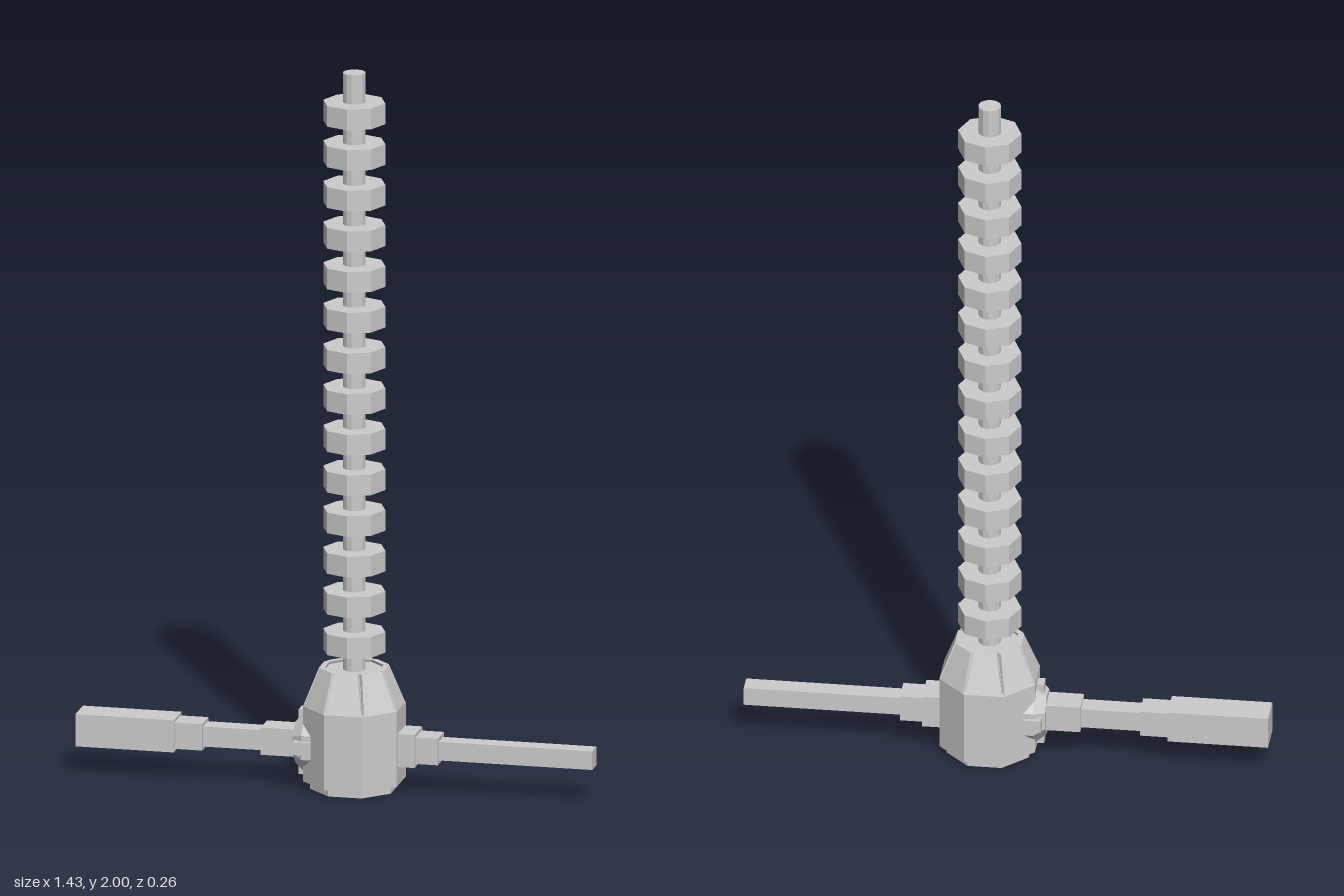
import * as THREE from 'three';

const CX = 0.048;      // axis of the column
const ARM_Y = 0.122;   // height of the two side arms
const TO_CORNER = 1 / Math.cos(Math.PI / 8);

const material = new THREE.MeshStandardMaterial({ color: 0xcccccc, flatShading: true });
const openMaterial = new THREE.MeshStandardMaterial({ color: 0xcccccc, flatShading: true, side: THREE.DoubleSide });

function add(parent, name, geometry, x = 0, y = 0, z = 0, mat = material) {
  const mesh = new THREE.Mesh(geometry, mat);
  mesh.name = name;
  mesh.position.set(x, y, z);
  parent.add(mesh);
  return mesh;
}

// Tapered plate: leans inward and narrows toward the top
function petalGeometry() {
  const g = new THREE.BoxGeometry(1, 1, 1);
  const p = g.attributes.position;
  for (let i = 0; i < p.count; i++) {
    const top = p.getY(i) > 0;
    const outer = p.getZ(i) > 0;
    const halfWidth = top ? 0.031 : 0.05;
    p.setXYZ(i, Math.sign(p.getX(i)) * halfWidth, top ? 0.338 : 0.232,
      (top ? 0.09 : 0.13) - (outer ? 0 : 0.016));
  }
  g.computeVertexNormals();
  return g;
}

// Square bar made of sections [x0, x1, half thickness]
function stepArm(parent, name, sections) {
  const arm = new THREE.Group();
  arm.name = name;
  for (const [part, x0, x1, h] of sections) {
    add(arm, part, new THREE.BoxGeometry(x1 - x0, 2 * h, 2 * h), (x0 + x1) / 2, ARM_Y, 0);
  }
  parent.add(arm);
}

export function createModel() {
  const model = new THREE.Group();
  model.name = 'ringedColumn';

  // Octagonal housing with a hollow underside, as [apothem, y]
  const profile = [
    [0, 0.035], [0.09, 0.035], [0.1, 0], [0.112, 0], [0.112, 0.022], [0.13, 0.022],
    [0.13, 0.232], [0.119, 0.238], [0.08, 0.33], [0, 0.33],
  ].map(([a, y]) => new THREE.Vector2(a * TO_CORNER, y));
  const housing = add(model, 'housing', new THREE.LatheGeometry(profile, 8), CX, 0, 0, openMaterial);
  housing.rotation.y = Math.PI / 8;

  // Sloping plates around the shoulder
  const petal = petalGeometry();
  for (let i = 0; i < 8; i++) {
    add(model, 'shoulderPlate', petal, CX, 0, 0).rotation.y = (i * Math.PI) / 4;
  }

  // Central rod and its rings
  add(model, 'rod', new THREE.CylinderGeometry(0.031, 0.031, 1.7, 12), CX, 1.15, 0);
  const ring = new THREE.CylinderGeometry(0.086, 0.086, 0.058, 8);
  for (let i = 0; i < 14; i++) {
    add(model, 'ring', ring, CX, 0.41 + i * 0.1138, 0);
  }

  // Round mount with four lugs on the right side
  const mount = new THREE.Group();
  mount.name = 'armMount';
  mount.position.set(0, ARM_Y, 0);
  const flange = add(mount, 'flange', new THREE.CylinderGeometry(0.062, 0.088, 0.03, 8), -0.095, 0, 0);
  flange.rotation.set(Math.PI / 8, 0, Math.PI / 2);
  const base = add(mount, 'flangeBase', new THREE.CylinderGeometry(0.088, 0.088, 0.035, 8), -0.0625, 0, 0);
  base.rotation.copy(flange.rotation);
  for (let i = 0; i < 4; i++) {
    const a = (i * Math.PI) / 2;
    const lug = add(mount, 'lug', new THREE.BoxGeometry(0.05, 0.03, 0.036),
      -0.077, 0.076 * Math.cos(a), 0.076 * Math.sin(a));
    lug.rotation.x = a;
  }
  model.add(mount);

  stepArm(model, 'rightArm', [
    ['collar', -0.203, -0.08, 0.038],
    ['shaft', -0.365, -0.203, 0.028],
    ['sleeve', -0.442, -0.365, 0.037],
    ['grip', -0.715, -0.442, 0.045],
  ]);
  stepArm(model, 'leftArm', [
    ['collar', 0.16, 0.226, 0.046],
    ['sleeve', 0.226, 0.288, 0.037],
    ['bar', 0.288, 0.714, 0.026],
  ]);

  return model;
}
